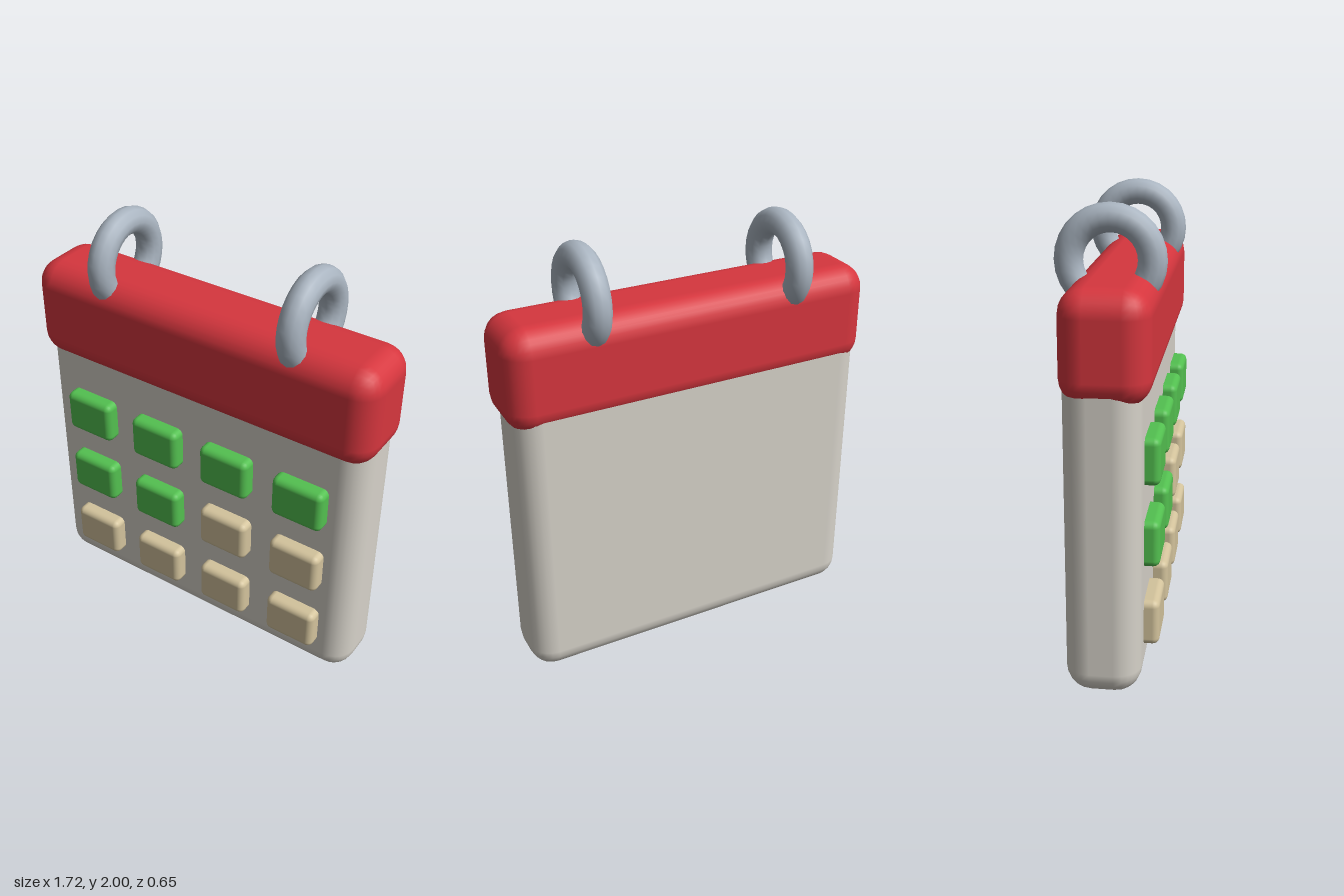
import * as THREE from 'three';
import { RoundedBoxGeometry } from 'three/addons/geometries/RoundedBoxGeometry.js';

const material = (name, color) => {
  const m = new THREE.MeshStandardMaterial({ color });
  m.name = name;
  return m;
};

export function createModel() {
  const paper = material('warm grey', 0xd6d2c9);
  const red = material('red', 0xd6363e);
  const green = material('green', 0x53c050);
  const tan = material('tan', 0xd3c39c);
  const metal = material('steel grey', 0xaab5c1);

  const model = new THREE.Group();
  model.name = 'calendar';

  // Everything is built square, then turned slightly about the vertical
  const calendar = new THREE.Group();
  calendar.name = 'turnedCalendar';
  calendar.rotation.y = THREE.MathUtils.degToRad(10);
  model.add(calendar);

  const add = (name, geometry, mat, x, y, z) => {
    const mesh = new THREE.Mesh(geometry, mat);
    mesh.name = name;
    mesh.position.set(x, y, z);
    calendar.add(mesh);
    return mesh;
  };

  // Page block, its top hidden inside the header
  add('pageBlock', new RoundedBoxGeometry(1.68, 1.5, 0.32, 3, 0.11), paper, -0.005, 0.75, -0.014);

  // Header band wrapping the top
  add('header', new RoundedBoxGeometry(1.724, 0.465, 0.37, 3, 0.11), red, 0, 1.4875, 0);

  // Binding rings
  const ring = new THREE.TorusGeometry(0.17, 0.06, 12, 28);
  for (const side of [-1, 1]) {
    add(side < 0 ? 'rightRing' : 'leftRing', ring, metal, side * 0.472, 1.77, -0.018).rotation.y = Math.PI / 2;
  }

  // Day tiles: the first six are green
  const tile = new RoundedBoxGeometry(0.25, 0.203, 0.094, 3, 0.03);
  for (let row = 0; row < 3; row++) {
    for (let col = 0; col < 4; col++) {
      const done = row * 4 + col < 6;
      add('dayTile', tile, done ? green : tan, (col - 1.5) * 0.377, 0.995 - row * 0.359, 0.164);
    }
  }
  return model;
}
